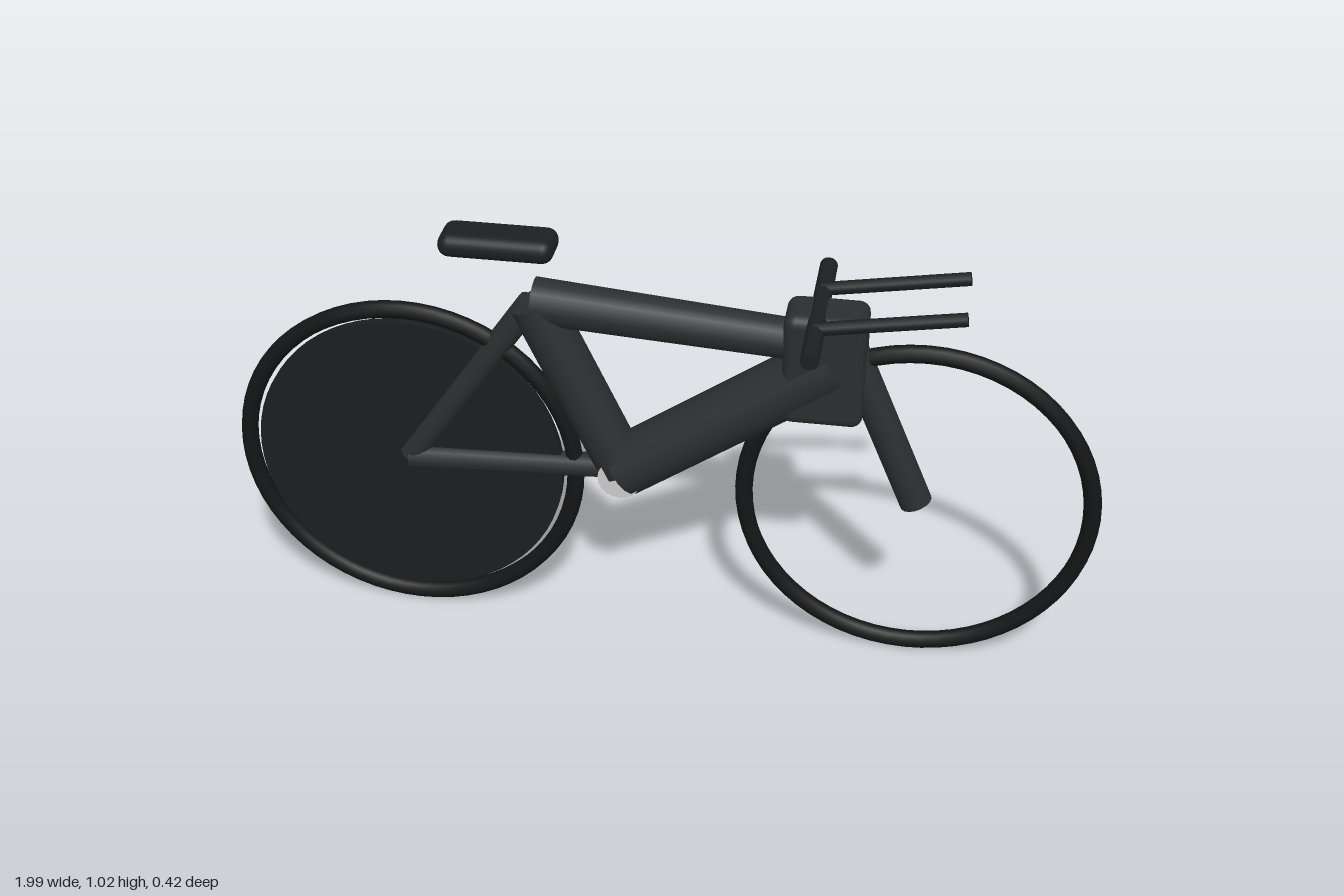
import * as THREE from 'three';
import { RoundedBoxGeometry } from 'three/addons/geometries/RoundedBoxGeometry.js';

const V = (x, y, z = 0) => new THREE.Vector3(x, y, z);
const material = (color) => new THREE.MeshStandardMaterial({ color });

export function createModel() {
  const bike = new THREE.Group();
  bike.name = 'bicycle';
  const frameMat = material(0x2b2d30);
  const barMat = material(0x1d1f21);
  const tyreMat = material(0x141516);
  const discMat = material(0x1c1d1f);
  const metalMat = material(0xcccccc);

  function add(name, geometry, mat, position = V(0, 0)) {
    const mesh = new THREE.Mesh(geometry, mat);
    mesh.name = name;
    mesh.position.copy(position);
    bike.add(mesh);
    return mesh;
  }

  // Straight tube between two points, radius ra at a and rb at b
  function tube(name, a, b, ra, rb, mat = frameMat, sides = 16) {
    const axis = b.clone().sub(a);
    const mesh = add(name, new THREE.CylinderGeometry(rb, ra, axis.length(), sides), mat,
      a.clone().add(b).multiplyScalar(0.5));
    mesh.quaternion.setFromUnitVectors(V(0, 1), axis.normalize());
    return mesh;
  }

  // Joints of the frame
  const rearAxle = V(-0.585, 0.417);
  const frontAxle = V(0.585, 0.417);
  const crank = V(-0.085, 0.442);
  const seatJoint = V(-0.28, 0.86);

  // Wheels: open front rim, solid rear disc
  for (const [name, axle] of [['rearTyre', rearAxle], ['frontTyre', frontAxle]]) {
    add(name, new THREE.TorusGeometry(0.39, 0.02, 10, 64), tyreMat, axle);
  }
  tube('rearDisc', V(-0.585, 0.417, -0.01), V(-0.585, 0.417, 0.01), 0.361, 0.361, discMat, 64);

  // Main triangle
  tube('topTube', seatJoint, V(0.37, 0.812), 0.053, 0.045);
  tube('seatTube', seatJoint, crank, 0.057, 0.057);
  tube('downTube', crank, V(0.39, 0.772), 0.07, 0.07);

  // Rear stays
  tube('seatStay', V(-0.285, 0.855), V(-0.585, 0.422), 0.03, 0.028);
  tube('chainStay', V(-0.585, 0.42), crank, 0.032, 0.028);

  // Bottom bracket shell
  tube('bottomBracket', V(-0.085, 0.438, -0.05), V(-0.085, 0.438, 0.05), 0.05, 0.05, metalMat, 20);

  // Head block and fork
  add('headBlock', new RoundedBoxGeometry(0.18, 0.27, 0.12, 3, 0.025), frameMat, V(0.365, 0.767));
  tube('fork', V(0.41, 0.83), V(0.585, 0.42), 0.037, 0.037);

  // Handlebar with a pair of forward extensions
  tube('handlebar', V(0.347, 0.89, -0.21), V(0.347, 0.89, 0.21), 0.02, 0.02, barMat);
  for (const side of [-1, 1]) {
    tube('handlebarExtension', V(0.343, 0.897, side * 0.088), V(0.662, 0.951, side * 0.088),
      0.015, 0.015, barMat, 12);
  }

  // Saddle
  add('saddle', new RoundedBoxGeometry(0.255, 0.055, 0.104, 3, 0.026), barMat, V(-0.353, 0.997));

  return bike;
}
